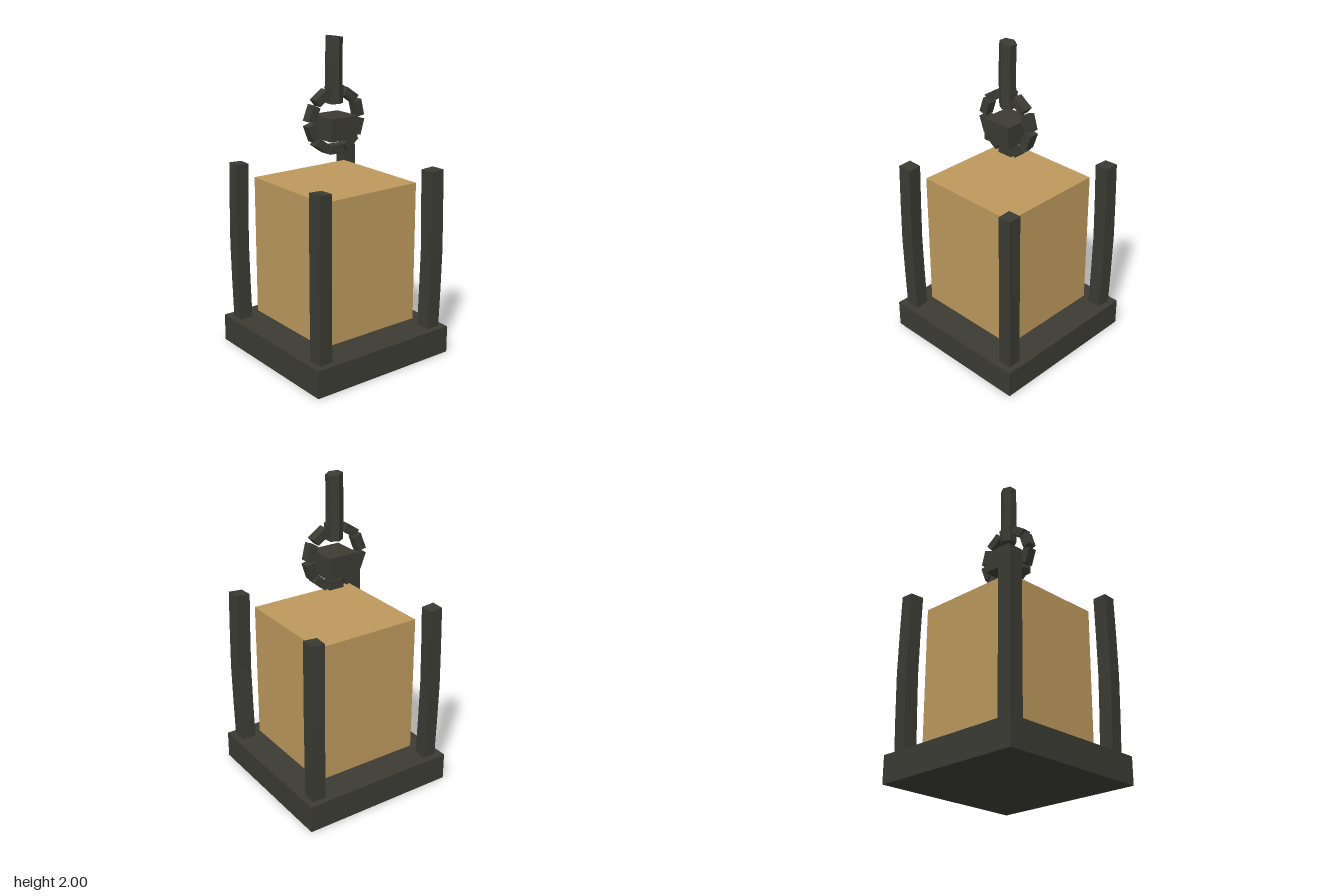
import * as THREE from 'three';

const darkIron = new THREE.MeshStandardMaterial({ color: 0x3b3b34, flatShading: true });
darkIron.name = 'dark iron';
const warmPanel = new THREE.MeshStandardMaterial({ color: 0xbc985c, flatShading: true });
warmPanel.name = 'warm panel';

function addPart(parent, name, geometry, material, x, y, z) {
  const mesh = new THREE.Mesh(geometry, material);
  mesh.name = name;
  mesh.position.set(x, y, z);
  parent.add(mesh);
  return mesh;
}

// Moves every vertex by a smooth rule, for a hand-hewn look
function warp(geometry, rule) {
  const p = geometry.attributes.position;
  const v = new THREE.Vector3();
  for (let i = 0; i < p.count; i++) {
    v.fromBufferAttribute(p, i);
    rule(v);
    p.setXYZ(i, v.x, v.y, v.z);
  }
  geometry.computeVertexNormals();
  return geometry;
}

export function createModel() {
  const model = new THREE.Group();
  model.name = 'hangingLantern';

  // Base slab and glowing body
  addPart(model, 'base', new THREE.BoxGeometry(1.02, 0.175, 1.02), darkIron, 0, 0.0875, 0);
  addPart(model, 'lanternBody', new THREE.BoxGeometry(0.708, 0.895, 0.708), warmPanel, 0, 1.1125 - 0.4475, 0);

  // Four slightly crooked corner posts
  for (const sx of [-1, 1]) {
    for (const sz of [-1, 1]) {
      const post = warp(new THREE.BoxGeometry(0.09, 1.04, 0.09, 1, 4, 1), (v) => {
        const bow = 0.004 * Math.cos(v.y * 5);
        const { x, z } = v;
        v.x += sx * bow + z * 0.06 * sz;
        v.z += sz * bow + x * 0.04 * sx;
        if (v.y > 0.5) v.y += x * 0.06 * sx;
      });
      addPart(model, 'cornerPost', post, darkIron, sx * 0.426, 0.68, sz * 0.426);
    }
  }

  // Block floating inside the ring
  addPart(model, 'ringBlock', new THREE.BoxGeometry(0.2, 0.14, 0.2), darkIron, 0, 1.45, 0);

  // Ring of ten separate links
  const ring = new THREE.Group();
  ring.name = 'ring';
  ring.position.set(0, 1.49, 0);
  model.add(ring);
  for (let i = 0; i < 10; i++) {
    const a = (i / 10) * Math.PI * 2 - Math.PI / 2;
    // The outer face of each link is a little longer than the inner face
    const link = warp(new THREE.BoxGeometry(0.054, 0.098, 0.06), (v) => {
      v.y *= 1 + v.x * 2.5;
      v.z += v.y * 0.04 * Math.sin(i * 2.4);
    });
    const mesh = addPart(ring, 'ringLink', link, darkIron, 0.178 * Math.cos(a), 0.178 * Math.sin(a), 0);
    mesh.rotation.z = a + 0.06 * Math.sin(i * 1.7);
  }

  // Six-sided hanging bar with a gentle bend
  const bar = warp(new THREE.CylinderGeometry(0.051, 0.053, 0.4, 6, 3), (v) => {
    const top = v.y > 0.19;
    const x = v.x;
    v.x -= 0.006 * Math.cos(v.y * 7.8);
    if (top) v.y -= x * 0.15;
  });
  addPart(model, 'hangingBar', bar, darkIron, 0, 1.793, 0);

  return model;
}
